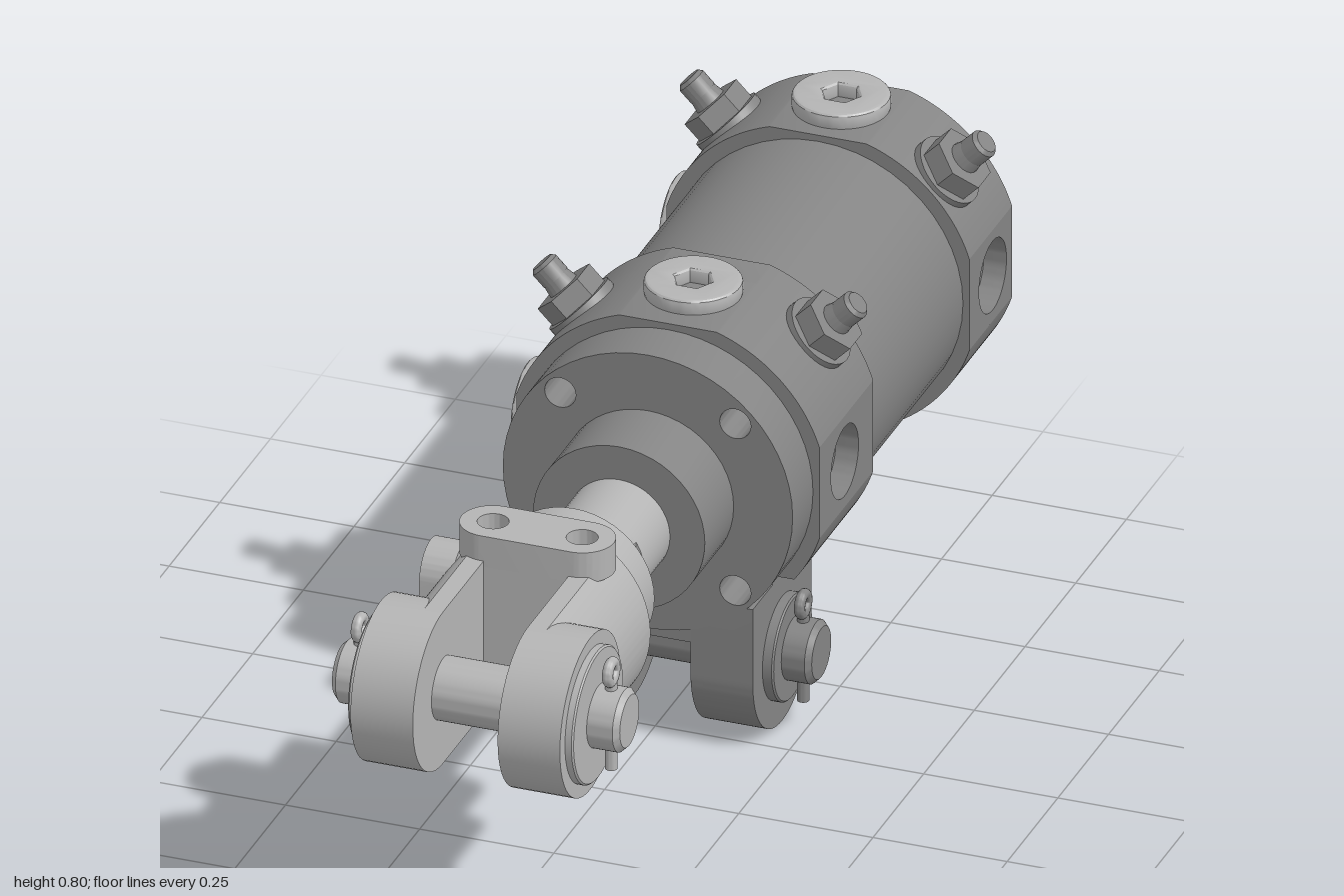
import * as THREE from 'three';
import { toCreasedNormals } from 'three/addons/utils/BufferGeometryUtils.js';

const dark = new THREE.MeshStandardMaterial({ color: 0x848484 });
const light = new THREE.MeshStandardMaterial({ color: 0xb4b4b4 });
const PI = Math.PI;

function add(parent, name, geo, material = dark, crease = 0.5) {
  const mesh = new THREE.Mesh(toCreasedNormals(geo, crease), material);
  mesh.name = name;
  parent.add(mesh);
  return mesh;
}

const extrude = (shape, depth) =>
  new THREE.ExtrudeGeometry(shape, { depth, bevelEnabled: false, curveSegments: 28 });
const alongZ = (shape, z0, z1) => extrude(shape, z1 - z0).translate(0, 0, z0);
// Shapes extruded along x are drawn with u = -z, v = y
const alongX = (shape, x0, x1) => extrude(shape, x1 - x0).rotateY(PI / 2).translate(x0, 0, 0);

// Solid of revolution about z with chamfered ends
function rod(r, z0, z1, c = 0) {
  const pts = [[0, z0], [r - c, z0], [r, z0 + c], [r, z1 - c], [r - c, z1], [0, z1]];
  return new THREE.LatheGeometry(pts.map((p) => new THREE.Vector2(...p)), 48).rotateX(PI / 2);
}

function hole(shape, x, y, r) {
  shape.holes.push(new THREE.Path().absarc(x, y, r, 0, 2 * PI, true));
  return shape;
}

// Round-ended plate with two holes
function tab(height) {
  const s = new THREE.Shape();
  s.absarc(0.084, 0, 0.058, -PI / 2, PI / 2, false);
  s.absarc(-0.084, 0, 0.058, PI / 2, 1.5 * PI, false);
  s.closePath();
  for (const side of [-1, 1]) hole(s, side * 0.083, 0, 0.028);
  return extrude(s, height).rotateX(-PI / 2);
}

const R = 0.296, FLAT = 0.282, PORT_FLOOR = 0.2;
const A = Math.acos(FLAT / R), H = R * Math.sin(A);

// Round profile with four flats, a slot for the port, and optional steps beside the lugs
function blockProfile(stepped) {
  const s = new THREE.Shape();
  const stepX = 0.195, stepY = 0.18;
  const low = Math.asin(stepY / R), high = Math.acos(stepX / R);
  const arc = (from, to) => s.absarc(0, 0, R, from, to, false);
  arc(A, PI / 2 - A);
  arc(PI / 2 + A, PI - A);
  if (stepped) {
    arc(PI + A, PI + low);
    s.lineTo(-stepX, -stepY);
    arc(PI + high, 1.5 * PI - A);
    arc(1.5 * PI + A, 2 * PI - high);
    s.lineTo(stepX, -stepY);
    arc(2 * PI - low, 2 * PI - A);
  } else {
    arc(PI + A, 1.5 * PI - A);
    arc(1.5 * PI + A, 2 * PI - A);
  }
  s.lineTo(PORT_FLOOR, -H);
  s.lineTo(PORT_FLOOR, H);
  s.closePath();
  return s;
}

// Port recess on the left side, hex socket plugs on the top and right side
function portAndPlugs(parent, z0, z1, portZ) {
  for (const [r, x0, x1] of [[0.068, 0.24, FLAT], [0.052, PORT_FLOOR, 0.24]]) {
    const face = new THREE.Shape([[-z1, -H], [-z0, -H], [-z0, H], [-z1, H]].map((p) => new THREE.Vector2(...p)));
    add(parent, 'port', alongX(hole(face, -portZ, 0, r), x0, x1));
  }
  for (const turn of [0, PI / 2]) {
    const disc = new THREE.Shape().absarc(0, 0, 0.087, 0, 2 * PI, false);
    const hex = [];
    for (let i = 0; i < 6; i++) hex.push(new THREE.Vector2(0.034 * Math.cos(-i * PI / 3), 0.034 * Math.sin(-i * PI / 3)));
    disc.holes.push(new THREE.Path(hex).closePath());
    const geo = new THREE.ExtrudeGeometry(disc, {
      depth: 0.016, bevelThickness: 0.008, bevelSize: 0.008, bevelOffset: -0.008, bevelSegments: 3, curveSegments: 32,
    });
    geo.rotateX(-PI / 2).translate(0, 0.286, 0).rotateZ(turn);
    add(parent, 'plug', geo, light).position.z = portZ;
  }
}

// Hex bleed fitting standing at 45 degrees
function bleeder(parent, side, z) {
  const g = new THREE.Group();
  g.name = 'bleedFitting';
  g.position.z = z;
  g.rotation.z = -side * PI / 4;
  const stack = [
    ['fittingBase', 0.068, 0.068, 0.27, 0.305, 32], ['fittingHex', 0.06, 0.06, 0.305, 0.345, 6],
    ['fittingNeck', 0.026, 0.03, 0.345, 0.365, 20], ['fittingNipple', 0.027, 0.027, 0.365, 0.395, 20],
    ['fittingTip', 0.021, 0.027, 0.395, 0.402, 20],
  ];
  for (const [name, top, bottom, y0, y1, n] of stack)
    add(g, name, new THREE.CylinderGeometry(top, bottom, y1 - y0, n).translate(0, (y0 + y1) / 2, 0));
  parent.add(g);
}

// Cross pin with washers and a split pin at each end
function crossPin(parent, y, z, washerR, washerX, material) {
  const g = new THREE.Group();
  g.name = 'crossPin';
  g.position.set(0, y, z);
  add(g, 'pin', rod(0.058, -0.268, 0.268, 0.01).rotateY(PI / 2), material);
  for (const side of [-1, 1]) {
    const x = side * 0.234;
    add(g, 'washer', rod(washerR, 0.19, washerX, 0.003).rotateY(side * PI / 2), material);
    add(g, 'splitPinLeg', new THREE.CylinderGeometry(0.011, 0.011, 0.17, 16).translate(x, -0.015, 0), material);
    add(g, 'splitPinLoop', new THREE.TorusGeometry(0.018, 0.01, 12, 28).rotateY(PI / 2).translate(x, 0.09, 0), material, 1);
  }
  parent.add(g);
}

export function createModel() {
  const model = new THREE.Group();
  model.name = 'hydraulicCylinder';
  // All parts are laid out around the cylinder axis
  const body = new THREE.Group();
  body.name = 'cylinderAssembly';
  body.position.set(0.005, 0.49, 0);
  model.add(body);

  // Barrel and end blocks
  add(body, 'barrel', rod(0.27, -0.8, -0.3));
  add(body, 'rearCap', alongZ(blockProfile(false), -1, -0.79));
  portAndPlugs(body, -1, -0.79, -0.905);
  add(body, 'frontHeadRear', alongZ(blockProfile(false), -0.315, -0.242));
  add(body, 'frontHead', alongZ(blockProfile(true), -0.242, -0.05));
  portAndPlugs(body, -0.315, -0.05, -0.175);
  for (const [side, z] of [[-1, -0.18], [1, -0.235], [-1, -0.905], [1, -0.868]]) bleeder(body, side, z);

  // Front flange with four bolt holes, and gland
  const flange = new THREE.Shape().absarc(0, 0, 0.27, 0, 2 * PI, false);
  for (const sx of [-1, 1]) for (const sy of [-1, 1]) hole(flange, sx * 0.163, sy * 0.165, 0.029);
  add(body, 'frontFlange', alongZ(flange, -0.05, 0.05));
  add(body, 'gland', rod(0.16, 0.04, 0.192));

  // Piston rod with wrench flats
  add(body, 'pistonRod', rod(0.095, 0.18, 0.32), light);
  const a = Math.acos(0.08 / 0.095);
  const flats = new THREE.Shape();
  flats.absarc(0, 0, 0.095, a, PI - a, false);
  flats.absarc(0, 0, 0.095, PI + a, 2 * PI - a, false);
  flats.closePath();
  add(body, 'wrenchFlats', alongZ(flats, 0.32, 0.42), light);

  // Rod end fork: rounded arms ending in discs
  add(body, 'forkCollar', rod(0.15, 0.41, 0.56, 0.004), light);
  add(body, 'forkBridge', new THREE.BoxGeometry(0.17, 0.3, 0.115).translate(0, 0, 0.5925), light);
  const spread = Math.asin(0.15 / 0.188);
  for (const side of [-1, 1]) {
    const mid = side < 0 ? PI : 0;
    const arm = new THREE.Shape();
    arm.absarc(0, 0, 0.188, mid - spread, mid + spread, false);
    arm.lineTo(side * 0.079, side * 0.15);
    arm.lineTo(side * 0.079, side * -0.15);
    arm.closePath();
    add(body, 'forkArm', alongZ(arm, 0.535, 0.85), light);
    add(body, 'forkEye', rod(0.15, 0.079, 0.195).rotateY(side * PI / 2).translate(0, 0, 0.85), light);
  }
  add(body, 'forkTopTab', tab(0.06).translate(0, 0.139, 0.593), light);
  add(body, 'forkSideTab', tab(0.06).translate(0, 0.139, 0).rotateZ(PI / 2).translate(0, 0, 0.593), light);
  crossPin(body, 0, 0.85, 0.125, 0.21, light);

  // Mounting lugs and the web between them under the front head
  for (const x0 of [-0.195, 0.079]) {
    const lug = new THREE.Shape();
    lug.absarc(0.097, -0.345, 0.145, PI, 2 * PI, false);
    lug.lineTo(0.242, -0.198);
    lug.lineTo(-0.048, -0.198);
    lug.closePath();
    add(body, 'mountLug', alongX(lug, x0, x0 + 0.116));
  }
  add(body, 'lugWeb', new THREE.BoxGeometry(0.16, 0.085, 0.288).translate(0, -0.2425, -0.097));
  crossPin(body, -0.342, -0.097, 0.098, 0.215, dark);
  return model;
}
